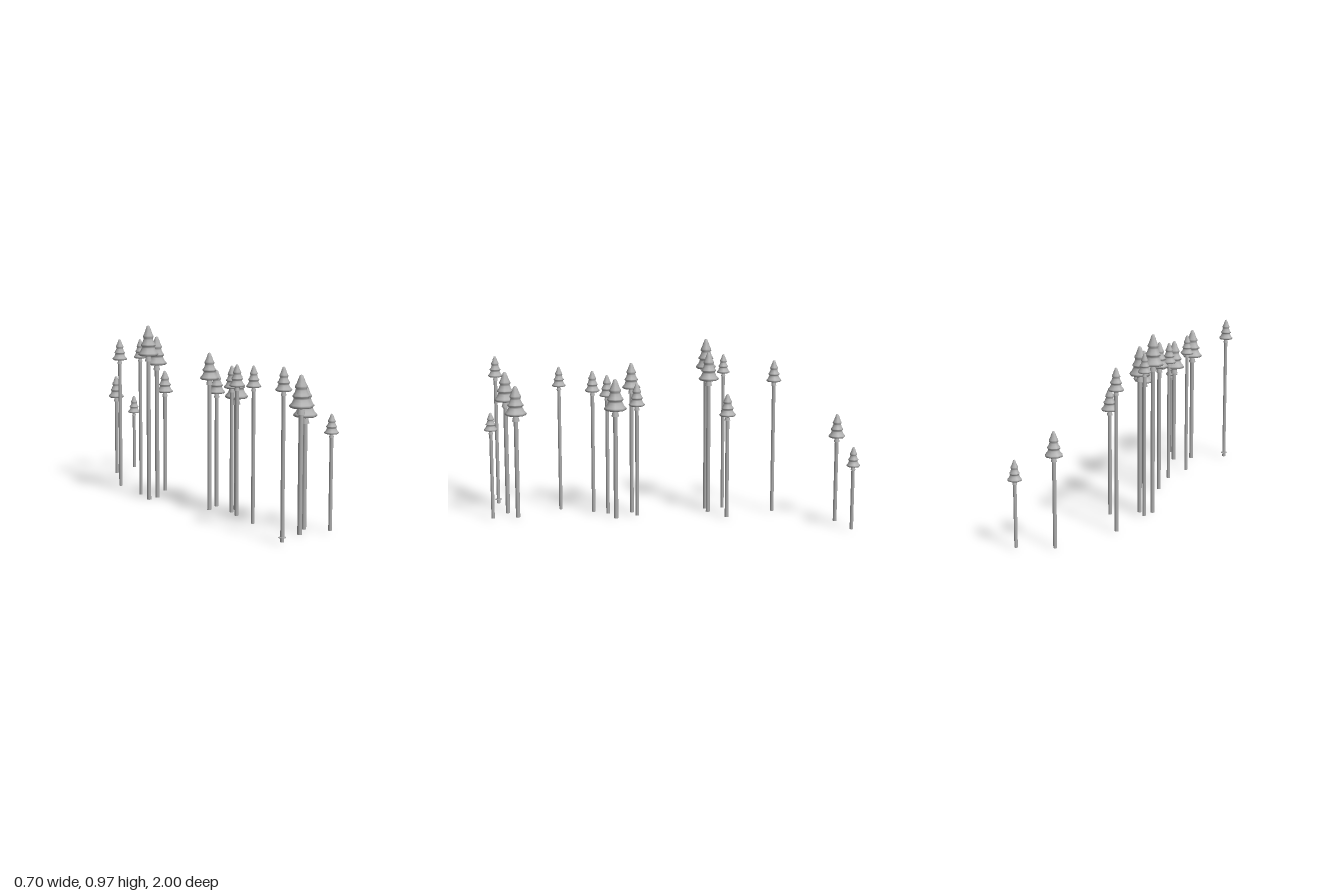
import * as THREE from 'three';

// One row per tree: x, z, top of crown, crown radius, crown height
const TREES = [
  [0.31, -0.962, 0.455, 0.037, 0.105],
  [0.128, -0.903, 0.597, 0.046, 0.128],
  [-0.09, -0.585, 0.857, 0.042, 0.118],
  [-0.16, -0.312, 0.882, 0.036, 0.104],
  [0.025, -0.322, 0.692, 0.046, 0.122],
  [-0.179, -0.217, 0.965, 0.056, 0.165],
  [-0.111, -0.228, 0.9, 0.056, 0.155],
  [-0.025, 0.168, 0.745, 0.045, 0.125],
  [-0.103, 0.197, 0.845, 0.05, 0.142],
  [0.01, 0.285, 0.775, 0.062, 0.172],
  [-0.065, 0.33, 0.785, 0.042, 0.118],
  [-0.103, 0.41, 0.802, 0.041, 0.115],
  [-0.162, 0.595, 0.817, 0.038, 0.11],
  [-0.028, 0.825, 0.735, 0.061, 0.163],
  [-0.123, 0.888, 0.796, 0.06, 0.163],
  [0.022, 0.957, 0.597, 0.037, 0.099],
  [-0.313, 0.957, 0.856, 0.041, 0.117],
];

// Three-tiered crown outline, bottom to top, in units of radius and height
const CROWN = [
  [0, 0.04], [0.3, 0.02], [0.88, 0], [1, 0.045], [0.94, 0.09], [0.76, 0.16],
  [0.64, 0.25], [0.6, 0.295], [0.73, 0.33], [0.72, 0.37], [0.58, 0.43],
  [0.47, 0.53], [0.44, 0.575], [0.53, 0.61], [0.5, 0.66], [0.38, 0.74],
  [0.25, 0.87], [0.14, 0.97], [0, 1],
];

export function createModel() {
  const model = new THREE.Group();
  const grey = new THREE.MeshStandardMaterial({ color: 0xb0b0b0 });
  grey.name = 'plain grey';

  const add = (parent, name, geometry, y) => {
    const mesh = new THREE.Mesh(geometry, grey);
    mesh.name = name;
    mesh.position.y = y;
    parent.add(mesh);
  };

  TREES.forEach(([x, z, top, radius, height], i) => {
    const tree = new THREE.Group();
    tree.name = `tree${i + 1}`;
    tree.position.set(x, 0, z);

    const outline = CROWN.map(([r, y]) => new THREE.Vector2(r * radius, y * height));
    const crownBase = top - height;
    add(tree, 'crown', new THREE.LatheGeometry(outline, 8), crownBase);

    // Small flared collar hanging under the crown
    const collar = radius * 0.6;
    add(tree, 'collar', new THREE.CylinderGeometry(radius * 0.2, radius * 0.34, collar, 8),
      crownBase + 0.003 - collar / 2);

    // Slim trunk; smaller trees start slightly higher
    const foot = Math.max(0, (0.056 - radius) * 0.5);
    const trunkTop = crownBase + height * 0.1;
    const trunkRadius = 0.005 + radius * 0.115;
    add(tree, 'trunk', new THREE.CylinderGeometry(trunkRadius, trunkRadius, trunkTop - foot, 8),
      (trunkTop + foot) / 2);

    // Thin ring plate near the foot of the front corner tree
    if (i === TREES.length - 1) {
      add(tree, 'footPlate', new THREE.CylinderGeometry(0.019, 0.019, 0.003, 8), 0.031);
    }
    model.add(tree);
  });

  return model;
}
